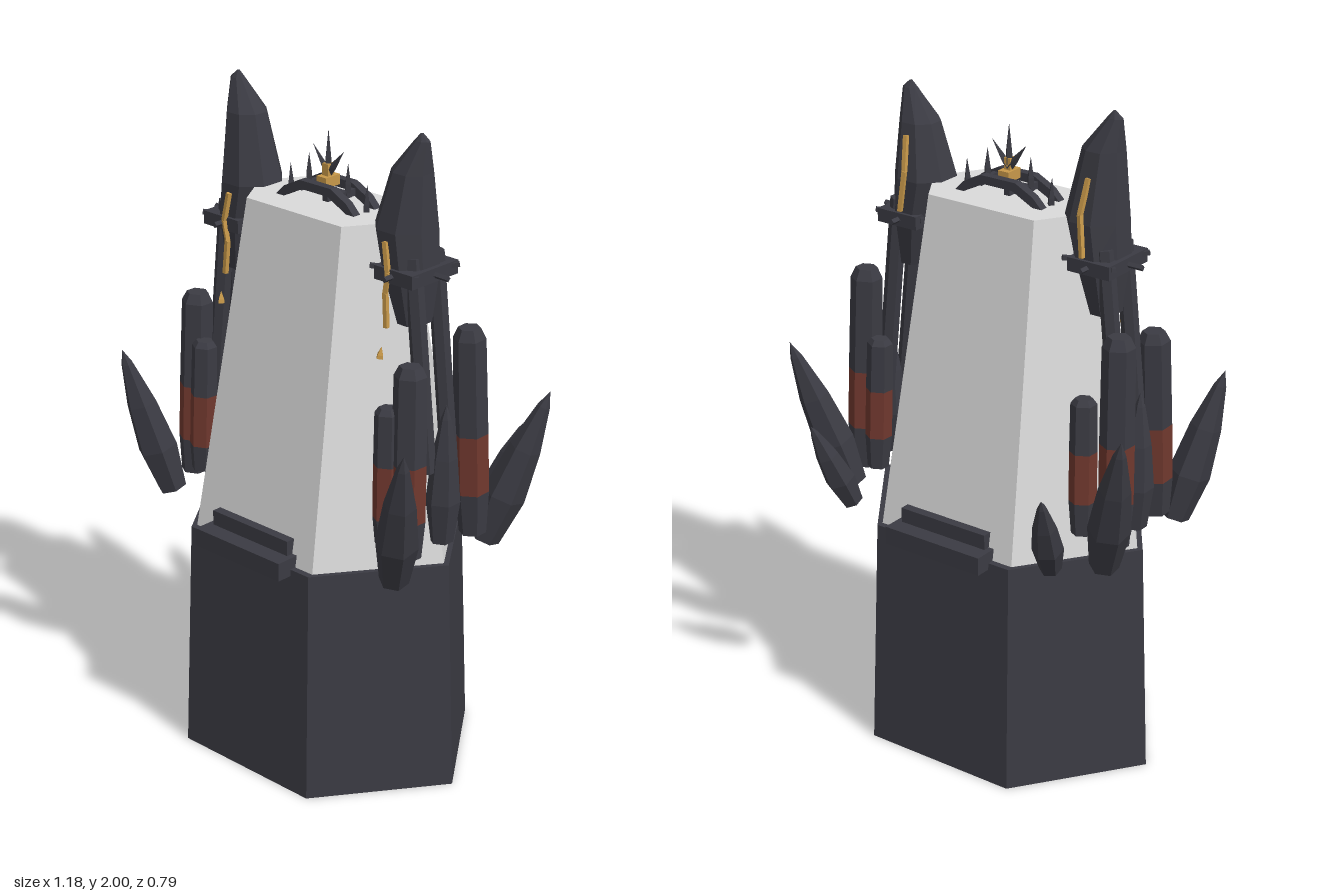
import * as THREE from 'three';

const mat = (name, color) => Object.assign(new THREE.MeshStandardMaterial({ color, flatShading: true }), { name });
const ZC = 0.02; // depth of the symmetry plane
const V = (x, y, z) => new THREE.Vector3(x, y, z);

// Skin between rings of equal point count, with separate groups for sides, top and bottom
function loft(rings) {
  const pos = [], n = rings[0].length;
  const tri = (...ps) => ps.forEach(p => pos.push(p.x, p.y, p.z));
  for (let r = 0; r < rings.length - 1; r++) {
    for (let i = 0; i < n; i++) {
      const j = (i + 1) % n, a = rings[r][i], b = rings[r][j], c = rings[r + 1][j], d = rings[r + 1][i];
      tri(a, b, c); tri(a, c, d);
    }
  }
  const side = pos.length / 3, top = rings[rings.length - 1], bot = rings[0];
  for (let i = 1; i < n - 1; i++) tri(top[0], top[i], top[i + 1]);
  for (let i = 1; i < n - 1; i++) tri(bot[0], bot[i + 1], bot[i]);
  const g = new THREE.BufferGeometry();
  g.setAttribute('position', new THREE.Float32BufferAttribute(pos, 3));
  g.addGroup(0, side, 0);
  g.addGroup(side, (n - 2) * 3, 1);
  g.addGroup(side + (n - 2) * 3, (n - 2) * 3, 2);
  g.computeVertexNormals();
  return g;
}

// Stretched hexagon: w = side point, c and d = corner offsets
const hexRing = (y, w, c, d) =>
  [[w, 0], [c, -d], [-c, -d], [-w, 0], [-c, d], [c, d]].map(([x, z]) => V(x, y, z + ZC));
const ngon = (n, x, y, r, rz = r) => Array.from({ length: n }, (_, i) => {
  const a = (i + 0.5) / n * Math.PI * 2;
  return V(x + r * Math.cos(a), y, ZC - rz * Math.sin(a));
});

export function createModel() {
  const root = new THREE.Group();
  root.name = 'spikedTower';
  const dark = mat('dark slate', 0x3b3b43), light = mat('pale stone', 0xdadada);
  const red = mat('dull red', 0x70382e), gold = mat('gold', 0xc8994a);

  const add = (parent, name, geo, m) => {
    const o = new THREE.Mesh(geo, m);
    o.name = name;
    parent.add(o);
    return o;
  };
  const box = (parent, name, m, x0, x1, y0, y1, z0, z1) => {
    const o = add(parent, name, new THREE.BoxGeometry(x1 - x0, y1 - y0, z1 - z0), m);
    o.position.set((x0 + x1) / 2, (y0 + y1) / 2, (z0 + z1) / 2);
    return o;
  };
  // Turned shape running from a to b; profile = [radius, fraction of length]
  const turned = (parent, name, m, a, b, profile, sides = 6) => {
    const len = a.distanceTo(b);
    const geo = new THREE.LatheGeometry(profile.map(([r, t]) => new THREE.Vector2(r, t * len)), sides);
    const o = add(parent, name, geo.toNonIndexed(), m);
    o.geometry.computeVertexNormals();
    o.position.copy(a);
    o.quaternion.setFromUnitVectors(V(0, 1, 0), b.clone().sub(a).normalize());
    return o;
  };
  const rod = (r) => [[0, 0], [r, 0], [r, 1], [0, 1]];
  const thorn = (r) => [[0, 0], [r, 0], [r * 0.9, 0.3], [0, 1]];
  const shard = (r) => [[0, 0], [r * 0.7, 0], [r, 0.3], [r * 0.75, 0.62], [r * 0.3, 0.9], [0, 1]];

  // Dark base and pale tapering body
  add(root, 'base', loft([hexRing(0, 0.505, 0.25, 0.355), hexRing(0.71, 0.475, 0.238, 0.33)]), [dark, dark, light]);
  add(root, 'body', loft([hexRing(0.7, 0.458, 0.235, 0.312), hexRing(1.69, 0.27, 0.183, 0.138)]), light);

  // Stepped ledges, front and back
  for (const s of [1, -1]) {
    const ledge = new THREE.Group();
    ledge.name = s > 0 ? 'frontLedge' : 'backLedge';
    const span = (a, b) => [Math.min(ZC + s * a, ZC + s * b), Math.max(ZC + s * a, ZC + s * b)];
    box(ledge, 'ledgeLower', dark, -0.168, 0.168, 0.69, 0.745, ...span(0.3, 0.378));
    box(ledge, 'ledgeUpper', dark, -0.15, 0.15, 0.745, 0.79, ...span(0.26, 0.325));
    root.add(ledge);
  }

  // Roof crest: two arched beams, cross bars, gold hub and thorns
  const crest = new THREE.Group();
  crest.name = 'crest';
  root.add(crest);
  const arch = new THREE.Shape();
  arch.moveTo(-0.155, 1.685);
  arch.lineTo(-0.12, 1.72); arch.lineTo(-0.06, 1.75); arch.lineTo(0.06, 1.75);
  arch.lineTo(0.12, 1.72); arch.lineTo(0.155, 1.685);
  arch.lineTo(0.12, 1.69); arch.lineTo(0.05, 1.725); arch.lineTo(-0.05, 1.725); arch.lineTo(-0.12, 1.69);
  for (const z of [-0.025, 0.06]) {
    const beam = add(crest, 'archBeam', new THREE.ExtrudeGeometry(arch, { depth: 0.026, bevelEnabled: false }), dark);
    beam.position.z = z - 0.013;
  }
  for (const x of [-0.07, 0.07]) box(crest, 'crossBar', dark, x - 0.008, x + 0.008, 1.715, 1.735, -0.03, 0.06);
  box(crest, 'ridgeBar', dark, -0.08, 0.08, 1.715, 1.73, ZC - 0.013, ZC + 0.008);
  box(crest, 'hub', gold, -0.018, 0.018, 1.735, 1.765, -0.012, 0.046);
  box(crest, 'hubPost', gold, -0.011, 0.011, 1.76, 1.8, 0.006, 0.03);
  box(crest, 'hubFoot', dark, -0.01, 0.01, 1.685, 1.735, 0.005, 0.03);
  for (const [x0, y0, x1, y1] of [[0, 1.78, 0, 1.9], [0, 1.77, 0.06, 1.845], [0, 1.77, -0.06, 1.845],
    [0.075, 1.73, 0.075, 1.815], [-0.075, 1.73, -0.075, 1.815], [0.145, 1.685, 0.148, 1.77], [-0.145, 1.685, -0.148, 1.77]]) {
    turned(crest, 'crestThorn', dark, V(x0, y0, ZC - 0.004), V(x1, y1, ZC - 0.004), thorn(0.012), 4);
  }

  // Crystal growths, mirrored on both flanks
  for (const s of [1, -1]) {
    const flank = new THREE.Group();
    flank.name = s > 0 ? 'leftFlank' : 'rightFlank';
    root.add(flank);
    const tip = s > 0 ? 1.96 : 2.0;

    // Great horn
    add(flank, 'horn', loft([
      ngon(8, s * 0.335, 1.42, 0.045, 0.06), ngon(8, s * 0.318, 1.58, 0.08, 0.092),
      ngon(8, s * 0.3, 1.69, 0.092, 0.095), ngon(8, s * 0.318, tip - 0.11, 0.062, 0.06),
      ngon(8, s * 0.352, tip - 0.02, 0.024, 0.018), ngon(8, s * 0.35, tip, 0.004),
    ]), dark);
    for (const z of [0.062, -0.03]) {
      turned(flank, 'hornRoot', dark, V(s * 0.425, 1.0, z), V(s * 0.36, 1.62, z), rod(0.026));
    }

    // Collar with radiating pegs
    box(flank, 'collar', dark, s * 0.335 - 0.07, s * 0.335 + 0.07, 1.55, 1.59, ZC - 0.095, ZC + 0.095);
    for (let i = 0; i < 8; i++) {
      const a = i / 8 * Math.PI * 2, dx = Math.cos(a), dz = Math.sin(a);
      turned(flank, 'collarPeg', dark, V(s * 0.33 + dx * 0.05, 1.57, ZC + dz * 0.05),
        V(s * 0.33 + dx * 0.122, 1.57 + (i % 2) * 0.012, ZC + dz * 0.125), rod(0.009), 4);
    }

    // Gold veins on the horn
    const vein = (pts) => pts.slice(1).forEach((p, i) =>
      turned(flank, 'goldVein', gold, V(s * pts[i][0], pts[i][1], pts[i][2]), V(s * p[0], p[1], p[2]), rod(0.009), 4));
    vein([[0.302, 1.665, 0.112], [0.318, 1.58, 0.117], [0.308, 1.52, 0.115], [0.316, 1.42, 0.118]]);
    vein([[0.315, 1.82, -0.05], [0.305, 1.72, -0.073], [0.318, 1.6, -0.08]]);
    turned(flank, 'goldChip', gold, V(s * 0.312, 1.335, 0.14), V(s * 0.316, 1.37, 0.137), thorn(0.012), 4);

    // Six-sided columns with red bands: x, z, radius, bottom, top, band bottom, band top
    for (const [x, z, r, y0, y1, b0, b1] of [
      [0.452, -0.09, 0.05, 0.77, 1.4, 0.9, 1.08], [0.425, 0.14, 0.05, 0.77, 1.34, 0.88, 1.05],
      [0.366, 0.165, 0.04, 0.8, 1.21, 0.88, 1.04], [0.366, -0.13, 0.04, 0.8, 1.21, 0.9, 1.05],
    ]) {
      const at = (y) => V(s * (x + (1.1 - y) * 0.02), y, z + Math.sign(z) * (1.1 - y) * 0.03);
      turned(flank, 'columnFoot', dark, at(y0), at(b0), [[0, 0], [r * 0.8, 0], [r, 1]]);
      turned(flank, 'columnBand', red, at(b0), at(b1), [[r, 0], [r, 1]]);
      turned(flank, 'columnTop', dark, at(b1), at(y1), [[r, 0], [r * 0.95, 0.9], [r * 0.65, 1], [0, 1]]);
    }

    // Pointed shards
    const fx = s > 0 ? 0.575 : 0.54;
    turned(flank, 'centreShard', dark, V(s * 0.445, 0.78, ZC), V(s * 0.455, 1.2, ZC), shard(0.05));
    turned(flank, 'frontShard', dark, V(s * 0.45, 0.73, 0.225), V(s * fx, 1.18, 0.33), shard(0.062));
    turned(flank, 'backShard', dark, V(s * 0.46, 0.73, -0.155), V(s * 0.588, 1.19, -0.272), shard(0.062));
    turned(flank, 'smallShard', dark, V(s * 0.36, 0.74, -0.275), V(s * 0.41, 1.01, -0.393), shard(0.046));
  }
  return root;
}
